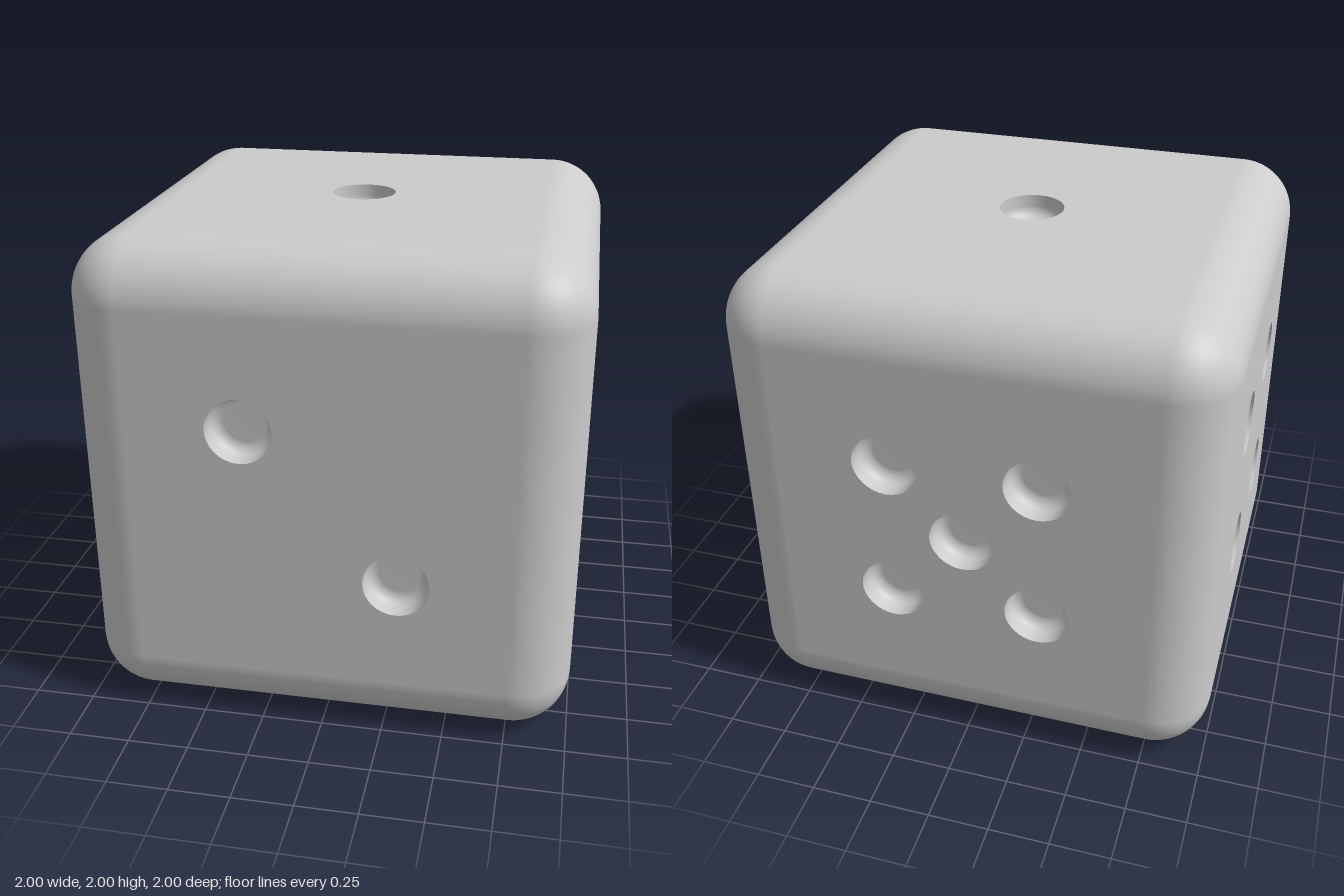
import * as THREE from 'three';
import { RoundedBoxGeometry } from 'three/addons/geometries/RoundedBoxGeometry.js';

const EDGE = 0.24;      // edge rounding radius
const FLAT = 1 - EDGE;  // half width of each flat face
const PIP_R = 0.133;
const STEP = 0.305;     // pip spacing
const SIDES = 32;

// Rounded edges and corners only: a rounded box without its six flat quads
function shellGeometry() {
  const box = new RoundedBoxGeometry(2, 2, 2, 10, EDGE);
  const p = box.attributes.position, n = box.attributes.normal;
  const positions = [], normals = [];
  for (let i = 0; i < p.count; i += 3) {
    const flat = [0, 1, 2].some(axis =>
      [0, 1, 2].every(k => Math.abs(n.getComponent(i + k, axis)) > 0.99999));
    if (flat) continue;
    for (let k = i; k < i + 3; k++) {
      positions.push(p.getX(k), p.getY(k), p.getZ(k));
      normals.push(n.getX(k), n.getY(k), n.getZ(k));
    }
  }
  const g = new THREE.BufferGeometry();
  g.setAttribute('position', new THREE.Float32BufferAttribute(positions, 3));
  g.setAttribute('normal', new THREE.Float32BufferAttribute(normals, 3));
  return g;
}

// Flat square with a round hole for each pip
function panelGeometry(pips) {
  const shape = new THREE.Shape([[-1, -1], [1, -1], [1, 1], [-1, 1]]
    .map(([x, y]) => new THREE.Vector2(x * FLAT, y * FLAT)));
  for (const [x, y] of pips) {
    const ring = [];
    for (let i = 0; i < SIDES; i++) {
      const a = -i / SIDES * Math.PI * 2;
      ring.push(new THREE.Vector2(x * STEP + PIP_R * Math.cos(a), y * STEP + PIP_R * Math.sin(a)));
    }
    shape.holes.push(new THREE.Path(ring));
  }
  return new THREE.ShapeGeometry(shape);
}

// Sunken cup: straight wall, rounded lower edge, flat floor
function pipGeometry() {
  const fillet = 0.05, wall = 0.05;
  const profile = [new THREE.Vector2(PIP_R, 0)];
  for (let i = 0; i <= 8; i++) {
    const a = i / 8 * Math.PI / 2;
    profile.push(new THREE.Vector2(
      PIP_R - fillet + fillet * Math.cos(a), -wall - fillet * Math.sin(a)));
  }
  profile.push(new THREE.Vector2(0, -wall - fillet));
  return new THREE.LatheGeometry(profile, SIDES).rotateX(Math.PI / 2);
}

export function createModel() {
  const model = new THREE.Group();
  model.name = 'die';
  const material = new THREE.MeshStandardMaterial({ color: 0xcccccc });
  const pipGeo = pipGeometry();

  const body = new THREE.Group();
  body.name = 'body';
  body.position.y = 1;
  model.add(body);

  const shell = new THREE.Mesh(shellGeometry(), material);
  shell.name = 'roundedEdges';
  body.add(shell);

  // Pip layouts in units of STEP, and the turn that carries each face into place
  const corners = [[-1, -1], [1, -1], [-1, 1], [1, 1]];
  const q = Math.PI / 2;
  const faces = [
    { name: 'topFace', turn: [-q, 0], pips: [[0, 0]] },
    { name: 'frontFace', turn: [0, 0], pips: [[-1, 1], [1, -1]] },
    { name: 'leftFace', turn: [0, q], pips: [[-1, -1], [0, 0], [1, 1]] },
    { name: 'rightFace', turn: [0, -q], pips: corners },
    { name: 'backFace', turn: [0, 2 * q], pips: [...corners, [0, 0]] },
    { name: 'bottomFace', turn: [q, 0], pips: [...corners, [-1, 0], [1, 0]] },
  ];

  for (const { name, turn, pips } of faces) {
    const face = new THREE.Group();
    face.name = name;
    face.rotation.set(turn[0], turn[1], 0);

    const panel = new THREE.Mesh(panelGeometry(pips), material);
    panel.name = 'panel';
    panel.position.z = 1;
    face.add(panel);

    for (const [x, y] of pips) {
      const pip = new THREE.Mesh(pipGeo, material);
      pip.name = 'pip';
      pip.position.set(x * STEP, y * STEP, 1);
      face.add(pip);
    }
    body.add(face);
  }
  return model;
}
